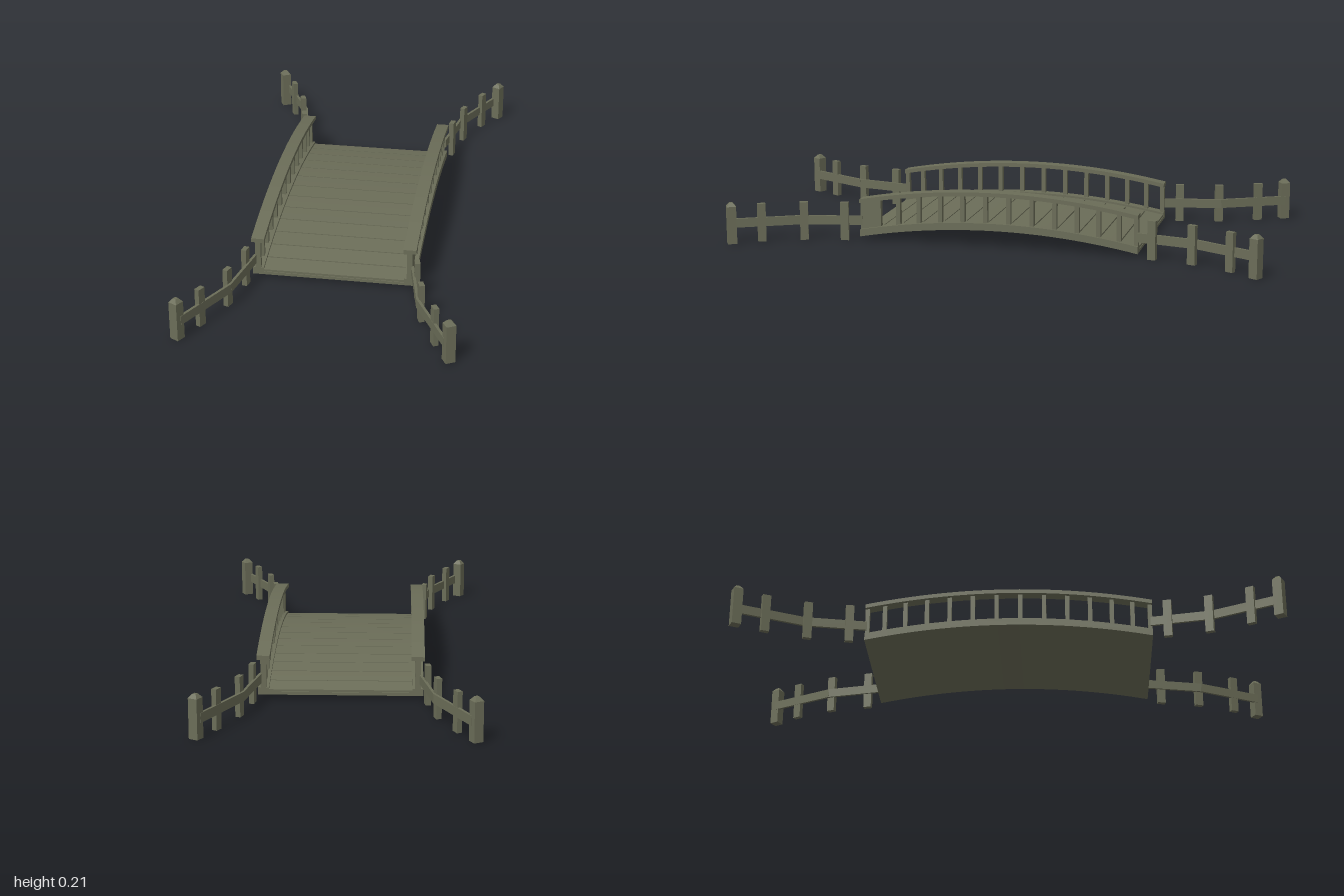
import * as THREE from 'three';

const wood = new THREE.MeshStandardMaterial({ color: 0x6b6d58 });
wood.name = 'weatheredWood';

const HALF = 0.53;
const half = [0.044, 0.132, 0.218, 0.302, 0.382, 0.458, HALF];
const stops = [...half.map((z) => -z).reverse(), ...half]; // joints along the deck
const drop = (z) => -0.187 * z * z;                        // arch of the bridge

function add(parent, geometry, name, x = 0, y = 0, z = 0) {
  const mesh = new THREE.Mesh(geometry, wood);
  mesh.name = name;
  mesh.position.set(x, y, z);
  parent.add(mesh);
  return mesh;
}

// Arched beam between two heights (given at mid-span), running along z
function archBeam(low, high, width, from = -HALF, to = HALF, steps = 26) {
  const top = [], bottom = [];
  for (let i = 0; i <= steps; i++) {
    const z = from + (to - from) * i / steps;
    top.push(new THREE.Vector2(z, high + drop(z)));
    bottom.push(new THREE.Vector2(z, low + drop(z)));
  }
  const shape = new THREE.Shape([...bottom, ...top.reverse()]);
  const geometry = new THREE.ExtrudeGeometry(shape, { depth: width, bevelEnabled: false });
  return geometry.translate(0, 0, -width / 2).rotateY(-Math.PI / 2);
}

function buildDeck(model) {
  const deck = new THREE.Group();
  deck.name = 'deck';
  add(deck, archBeam(0.065, 0.076, 0.59), 'deckSlab');
  // Planks with narrow gaps
  for (let i = 0; i < stops.length - 1; i++) {
    const a = stops[i], b = stops[i + 1];
    add(deck, archBeam(0.075, 0.084, 0.51, a + 0.002, b - 0.002, 2), 'plank');
  }
  model.add(deck);
}

function buildRailing(model, side) {
  const railing = new THREE.Group();
  railing.name = side > 0 ? 'leftRailing' : 'rightRailing';
  const x = side * 0.275;
  add(railing, archBeam(0.066, 0.092, 0.04), 'curb', x);
  add(railing, archBeam(0.194, 0.209, 0.047), 'handrail', x);
  for (const stop of stops) {
    const z = THREE.MathUtils.clamp(stop, -0.522, 0.522);
    add(railing, new THREE.BoxGeometry(0.02, 0.112, 0.016), 'baluster', x, 0.143 + drop(z), z);
  }
  // Solid end panel
  if (side > 0) add(railing, archBeam(0.088, 0.198, 0.02, 0.458, HALF, 4), 'endPanel', x);
  model.add(railing);
}

function buildFence(model, sx, sz) {
  const fence = new THREE.Group();
  fence.name = 'fence';
  const path = [[0.285, 0.525], [0.33, 0.745], [0.45, 0.98]];
  // Rails
  for (let i = 0; i < 2; i++) {
    const [x0, z0] = path[i], [x1, z1] = path[i + 1];
    const length = Math.hypot(x1 - x0, z1 - z0) + 0.003;
    const rail = add(fence, new THREE.BoxGeometry(0.01, 0.034, length), 'fenceRail',
      sx * (x0 + x1) / 2, 0.073, sz * (z0 + z1) / 2);
    rail.rotation.y = Math.atan2(sx * (x1 - x0), sz * (z1 - z0));
  }
  // Slim posts on the outer face of the rails
  for (const [x, z, turn] of [[0.309, 0.585, 0.2], [0.341, 0.735, 0.35], [0.405, 0.88, 0.47]]) {
    const post = add(fence, new THREE.BoxGeometry(0.019, 0.145, 0.031), 'fencePost', sx * x, 0.0725, sz * z);
    post.rotation.y = sx * sz * turn;
  }
  // Thick end post with a chamfered cap
  const end = new THREE.Group();
  end.name = 'endPost';
  end.position.set(sx * 0.464, 0, sz * 0.976);
  end.rotation.y = sx * sz * 0.5;
  add(end, new THREE.BoxGeometry(0.035, 0.142, 0.035), 'endPostShaft', 0, 0.071, 0);
  const cap = new THREE.CylinderGeometry(0.009, 0.0247, 0.014, 4).rotateY(Math.PI / 4).toNonIndexed();
  cap.computeVertexNormals();
  add(end, cap, 'endPostCap', 0, 0.149, 0);
  fence.add(end);
  model.add(fence);
}

export function createModel() {
  const model = new THREE.Group();
  model.name = 'footbridge';
  buildDeck(model);
  for (const sx of [-1, 1]) {
    buildRailing(model, sx);
    for (const sz of [-1, 1]) buildFence(model, sx, sz);
  }
  return model;
}
